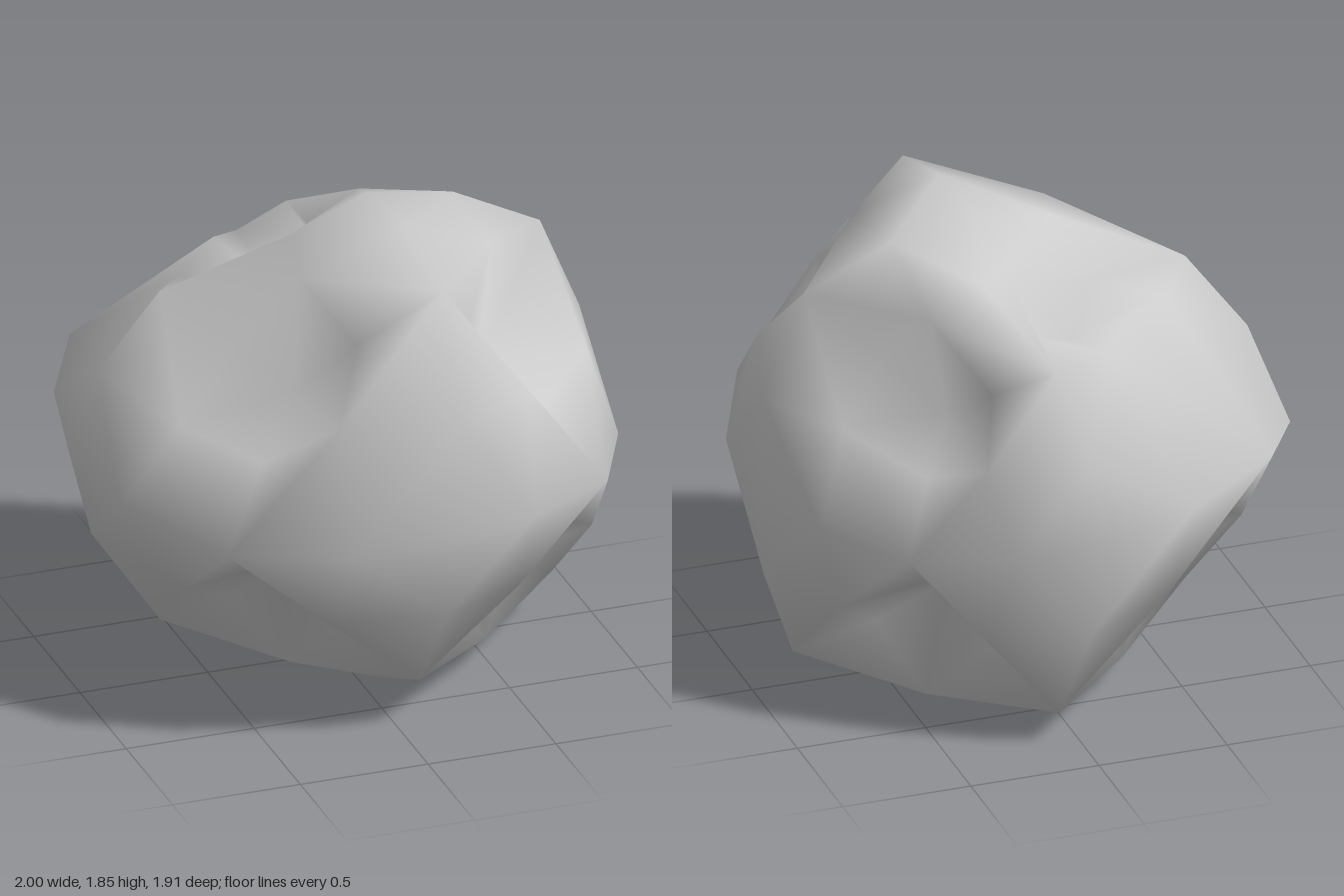
import * as THREE from 'three';

const V = (x, y, z) => new THREE.Vector3(x, y, z);
const CORE = V(0, 0.92, 0);

// Ridge corners and bulge centres, keyed by position on a -2..2 cube lattice
const ANCHORS = {
  // six bulging sides
  '2,0,0': [1, 0.85, -0.1], '-2,0,0': [-1, 0.95, -0.14],
  '0,2,0': [0.14, 1.83, -0.06], '0,-2,0': [0.08, 0, -0.04],
  '0,0,2': [0.13, 0.88, 0.95], '0,0,-2': [-0.05, 0.88, -0.96],
  // twelve ridge corners
  '0,2,2': [0.18, 1.75, 0.66], '2,2,0': [0.81, 1.62, -0.03],
  '0,2,-2': [0.07, 1.5, -0.73], '-2,2,0': [-0.66, 1.55, -0.08],
  '-2,0,2': [-0.66, 0.8, 0.66], '2,0,2': [0.79, 0.92, 0.76],
  '2,0,-2': [0.6, 0.75, -0.6], '-2,0,-2': [-0.75, 1.06, -0.8],
  '0,-2,2': [0.08, 0.19, 0.69], '2,-2,0': [0.86, 0.16, -0.05],
  '0,-2,-2': [0.08, 0.13, -0.79], '-2,-2,0': [-0.66, 0.21, -0.07],
  // the back upper hollow is shifted onto the top, behind a rounded shoulder
  '-1,2,0': [-0.18, 1.75, 0.02], '0,2,-1': [0.22, 1.7, -0.35],
  '-1,2,-1': [0.04, 1.58, -0.14], '-2,2,-2': [-0.14, 1.4, -0.3],
  '-2,2,-1': [-0.29, 1.53, -0.11], '-1,2,-2': [0.06, 1.5, -0.43],
  '-2,1,-2': [-0.32, 1.55, -0.44], '-2,1,-1': [-0.52, 1.5, -0.27],
  '-1,1,-2': [-0.17, 1.48, -0.6],
};

const scaleFromCore = (p, k) => p.sub(CORE).multiplyScalar(k).add(CORE);

// Point on the rounded body, a little nearer to bulge centre a than to corner b
function arcMid(a, b) {
  const r = (a.distanceTo(CORE) + b.distanceTo(CORE)) / 2;
  return a.clone().lerp(b, 0.46).sub(CORE).setLength(r * 0.99).add(CORE);
}

// Flat centre of the triangle that spans one hollow
function hollowCentre(s) {
  const c = V(0, 0, 0);
  for (let k = 0; k < 3; k++) {
    const e = s.slice();
    e[k] = 0;
    c.add(place(e));
  }
  return c.divideScalar(3);
}

// Position of any lattice point
function place(p) {
  const fixed = ANCHORS[p.join(',')];
  if (fixed) return V(...fixed);
  const twos = p.filter((n) => Math.abs(n) === 2).length;
  const ones = p.filter((n) => Math.abs(n) === 1).length;
  const outer = p.map((n) => Math.sign(n) * 2);
  const inner = p.map((n) => (Math.abs(n) === 1 ? 0 : n));

  // bottom of a hollow
  if (twos === 3) return scaleFromCore(hollowCentre(p), 0.73);
  // slope from a ridge corner into a hollow
  if (twos === 2) {
    return scaleFromCore(place(inner).lerp(hollowCentre(outer), 0.5), 0.88);
  }
  // between a bulge centre and a ridge corner
  if (ones === 1) return arcMid(place(inner), place(outer));
  // middle of a ridge, bulging only along the axis of its side
  const ends = [0, 1, 2].filter((k) => Math.abs(p[k]) === 1).map((k) => {
    const e = outer.slice();
    e[k] = 0;
    return place(e);
  });
  const axis = p.findIndex((n) => Math.abs(n) === 2);
  const mid = ends[0].lerp(ends[1], 0.5);
  return mid.setComponent(axis, mid.getComponent(axis) + Math.sign(p[axis]) * 0.05);
}

function buildBody() {
  const positions = [], indices = [], known = new Map();
  const index = (p) => {
    const key = p.join(',');
    if (!known.has(key)) {
      known.set(key, positions.length / 3);
      positions.push(...place(p).toArray());
    }
    return known.get(key);
  };

  for (let axis = 0; axis < 3; axis++) {
    for (const side of [-2, 2]) {
      const at = (i, j) => {
        const p = [0, 0, 0];
        p[axis] = side;
        p[(axis + 1) % 3] = i;
        p[(axis + 2) % 3] = j;
        return index(p);
      };
      const tri = (a, b, c) => indices.push(...(side > 0 ? [a, b, c] : [a, c, b]));
      for (let i = -2; i < 2; i++) {
        for (let j = -2; j < 2; j++) {
          const a = at(i, j), b = at(i + 1, j), c = at(i + 1, j + 1), d = at(i, j + 1);
          // diagonals follow the ridges, and run to the bottom inside a hollow
          const hollow = (i === -2 || i === 1) && (j === -2 || j === 1);
          if (((i >= 0) === (j >= 0)) !== hollow) {
            tri(a, b, d);
            tri(b, c, d);
          } else {
            tri(a, b, c);
            tri(a, c, d);
          }
        }
      }
    }
  }

  const geometry = new THREE.BufferGeometry();
  geometry.setAttribute('position', new THREE.Float32BufferAttribute(positions, 3));
  geometry.setIndex(indices);
  geometry.computeVertexNormals();
  return geometry;
}

export function createModel() {
  const group = new THREE.Group();
  group.name = 'dentedBoulder';
  const body = new THREE.Mesh(
    buildBody(),
    new THREE.MeshStandardMaterial({ color: 0xcccccc })
  );
  body.name = 'boulder';
  group.add(body);
  return group;
}
